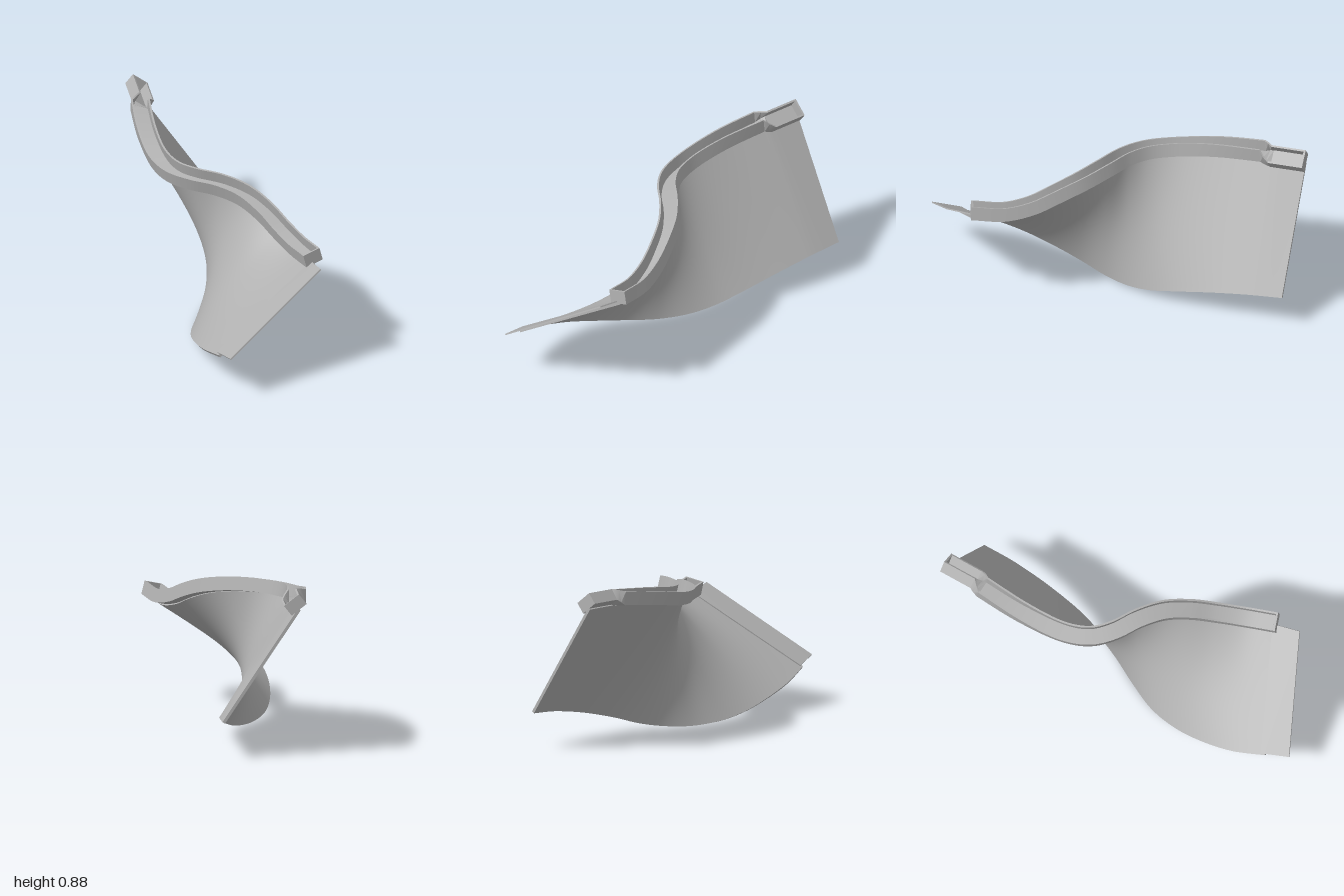
import * as THREE from 'three';
import { toCreasedNormals } from 'three/addons/utils/BufferGeometryUtils.js';

const V = (x, y, z) => new THREE.Vector3(x, y, z);
const curve = (pts) => new THREE.CatmullRomCurve3(pts.map((p) => V(...p)));

// Matching points along the upper and lower edges of the twisted sheet, front to back
const upper = curve([
  [0.279, 0.575, 0.735], [0.258, 0.563, 0.56], [0.222, 0.592, 0.41], [0.175, 0.645, 0.28],
  [0.112, 0.687, 0.16], [0.018, 0.711, 0.05], [-0.09, 0.717, -0.05], [-0.157, 0.718, -0.15],
  [-0.184, 0.726, -0.28], [-0.165, 0.76, -0.53], [-0.113, 0.787, -0.77],
  [-0.1, 0.791, -0.82], [-0.065, 0.795, -1],
]);
const lower = curve([
  [-0.31, 0.205, 0.87], [-0.325, 0.153, 0.69], [-0.305, 0.1, 0.51], [-0.26, 0.05, 0.35],
  [-0.187, 0.014, 0.2], [-0.08, 0, 0.06], [0.025, 0.014, -0.07], [0.102, 0.044, -0.19],
  [0.163, 0.086, -0.31], [0.237, 0.143, -0.53], [0.284, 0.175, -0.71],
  [0.297, 0.182, -0.77], [0.322, 0.192, -0.91],
]);
const END = 10 / 12; // where the gutter meets the socket

// Skin a list of closed rings; each ring runs out along one side and back along the other
function loft(rings) {
  const n = rings[0].length, last = (rings.length - 1) * n, index = [];
  const quad = (a, b, c, d) => index.push(a, b, c, a, c, d);
  for (let i = 0; i < rings.length - 1; i++) {
    for (let k = 0; k < n; k++) {
      const a = i * n + k, b = i * n + ((k + 1) % n);
      quad(a, a + n, b + n, b);
    }
  }
  for (let k = 0; k < n / 2 - 1; k++) {
    quad(k, k + 1, n - 2 - k, n - 1 - k);
    quad(last + n - 1 - k, last + n - 2 - k, last + k + 1, last + k);
  }
  const geo = new THREE.BufferGeometry().setFromPoints(rings.flat());
  geo.setIndex(index);
  return toCreasedNormals(geo, 0.6);
}

// Ring of a thin slab running from p to q, with travel directions at both ends
function slabRing(p, q, tp, tq, thick, steps) {
  const across = q.clone().sub(p), near = [], far = [];
  for (let i = 0; i <= steps; i++) {
    const v = i / steps, c = p.clone().lerp(q, v);
    const nrm = across.clone().cross(tp.clone().lerp(tq, v)).normalize();
    near.push(c.clone().addScaledVector(nrm, -thick / 2));
    far.unshift(c.addScaledVector(nrm, thick / 2));
  }
  return [...near, ...far];
}

// Place a flat profile across the upper edge, rolled about the direction of travel
function place(profile, t, rollDeg, shift = 0) {
  const T = upper.getTangent(t), c = upper.getPoint(t).addScaledVector(T, shift);
  const r = THREE.MathUtils.degToRad(rollDeg);
  const side = T.clone().cross(V(0, 1, 0)).normalize(), up = side.clone().cross(T);
  const l = side.clone().multiplyScalar(Math.cos(r)).addScaledVector(up, Math.sin(r));
  const u = up.clone().multiplyScalar(Math.cos(r)).addScaledVector(side, -Math.sin(r));
  return profile.map(([x, y]) => c.clone().addScaledVector(l, x).addScaledVector(u, y));
}

function channel(w, h, t) {
  const a = w / 2, b = a - t;
  return [[-a, h], [-a, 0], [a, 0], [a, h], [b, h], [b, t], [-b, t], [-b, h]];
}
const plate = (w, h) => [[-w / 2, h], [-w / 2, 0], [w / 2, 0], [w / 2, h]];

export function createModel() {
  const group = new THREE.Group();
  const grey = new THREE.MeshStandardMaterial({ color: 0xb0b0b0 });
  grey.name = 'plain grey';
  const add = (name, rings) => {
    const mesh = new THREE.Mesh(loft(rings), grey);
    mesh.name = name;
    group.add(mesh);
  };

  // Twisted sheet
  const sheet = [];
  for (let i = 0; i <= 84; i++) {
    const t = i / 84;
    sheet.push(slabRing(upper.getPoint(t), lower.getPoint(t),
      upper.getTangent(t), lower.getTangent(t), 0.016, 24));
  }
  add('twistedSheet', sheet);

  // Thin overlap flange continuing the front end
  const flangeRing = (p, q) => slabRing(p, q, V(0, 0.3, 1), V(0, 0.3, 1), 0.007, 1);
  add('frontFlange', [
    flangeRing(V(0.268, 0.579, 0.715), V(-0.312, 0.217, 0.845)),
    flangeRing(V(0.265, 0.608, 0.865), V(-0.295, 0.25, 0.998)),
  ]);

  // Gutter along the upper edge
  const gutter = [], gutterProfile = channel(0.1, 0.073, 0.01);
  for (let i = 0; i <= 70; i++) {
    const t = (i / 70) * END;
    const roll = 13 * (1 - THREE.MathUtils.smoothstep(t, 8 / 12, END));
    gutter.push(place(gutterProfile, t, roll));
  }
  add('gutter', gutter);
  add('gutterEndCap', [place(plate(0.1, 0.073), 0, 13, -0.005), place(plate(0.1, 0.073), 0, 13, 0.005)]);

  // Rolled socket behind the gutter, with a short twisted transition
  const socketProfile = channel(0.1, 0.066, 0.01);
  add('socketTransition', [
    place(gutterProfile, END, 0),
    place(socketProfile, 10.5 / 12, -19),
    place(socketProfile, 11 / 12, -38),
  ]);
  add('socket', [place(socketProfile, 11 / 12, -38), place(socketProfile, 1, -38)]);
  add('socketEndCap', [place(plate(0.1, 0.066), 1, -38, -0.01), place(plate(0.1, 0.066), 1, -38)]);

  return group;
}
